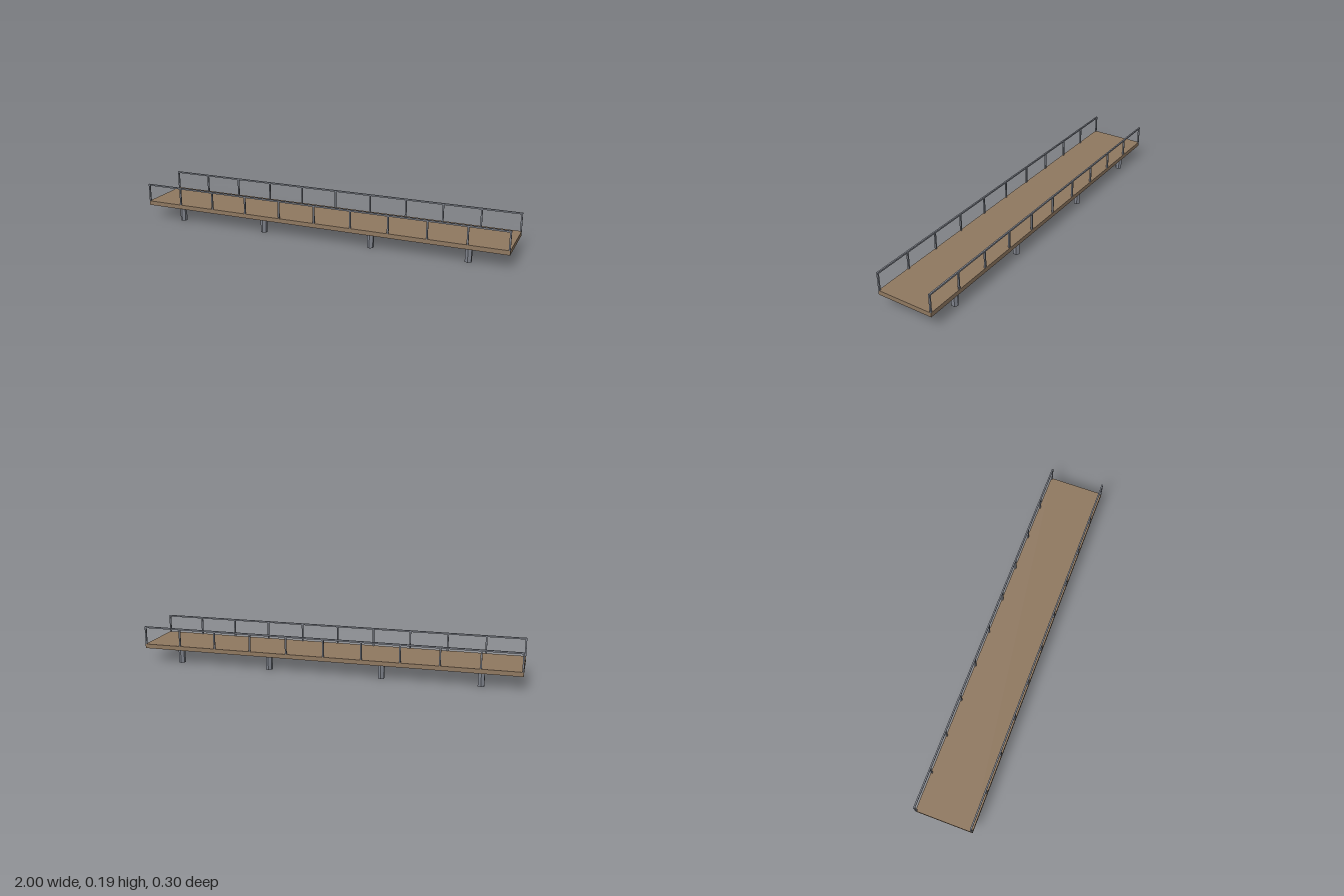
import * as THREE from 'three';

export function createModel() {
  const group = new THREE.Group();
  group.name = 'footbridge';
  const wood = new THREE.MeshStandardMaterial({ color: 0x8f7860, flatShading: true });
  wood.name = 'brown wood';
  const steel = new THREE.MeshStandardMaterial({ color: 0x7e828b, flatShading: true });
  steel.name = 'grey steel';

  const add = (name, geometry, material, x, y, z) => {
    const mesh = new THREE.Mesh(geometry, material);
    mesh.name = name;
    mesh.position.set(x, y, z);
    group.add(mesh);
  };

  const deckBottom = 0.072, deckTop = 0.095, railTop = 0.192, bar = 0.008;

  // Flat deck
  add('deck', new THREE.BoxGeometry(2, deckTop - deckBottom, 0.3), wood, 0, (deckBottom + deckTop) / 2, 0);

  const pillar = new THREE.CylinderGeometry(0.018, 0.018, deckBottom, 6);
  const postHeight = railTop - bar - deckTop;
  const post = new THREE.BoxGeometry(bar, postHeight, bar);
  const rail = new THREE.BoxGeometry(2, bar, bar);

  for (const side of [-1, 1]) {
    // Six-sided pillars below the deck
    for (const x of [-0.8, -0.3, 0.3, 0.8]) add('pillar', pillar, steel, x, deckBottom / 2, side * 0.12);

    // Railing flush with the deck edge
    const z = side * (0.15 - bar / 2);
    add('handrail', rail, steel, 0, railTop - bar / 2, z);
    for (let i = 0; i <= 10; i++) {
      add('railPost', post, steel, (i / 5 - 1) * (1 - bar / 2), deckTop + postHeight / 2, z);
    }
  }
  return group;
}
